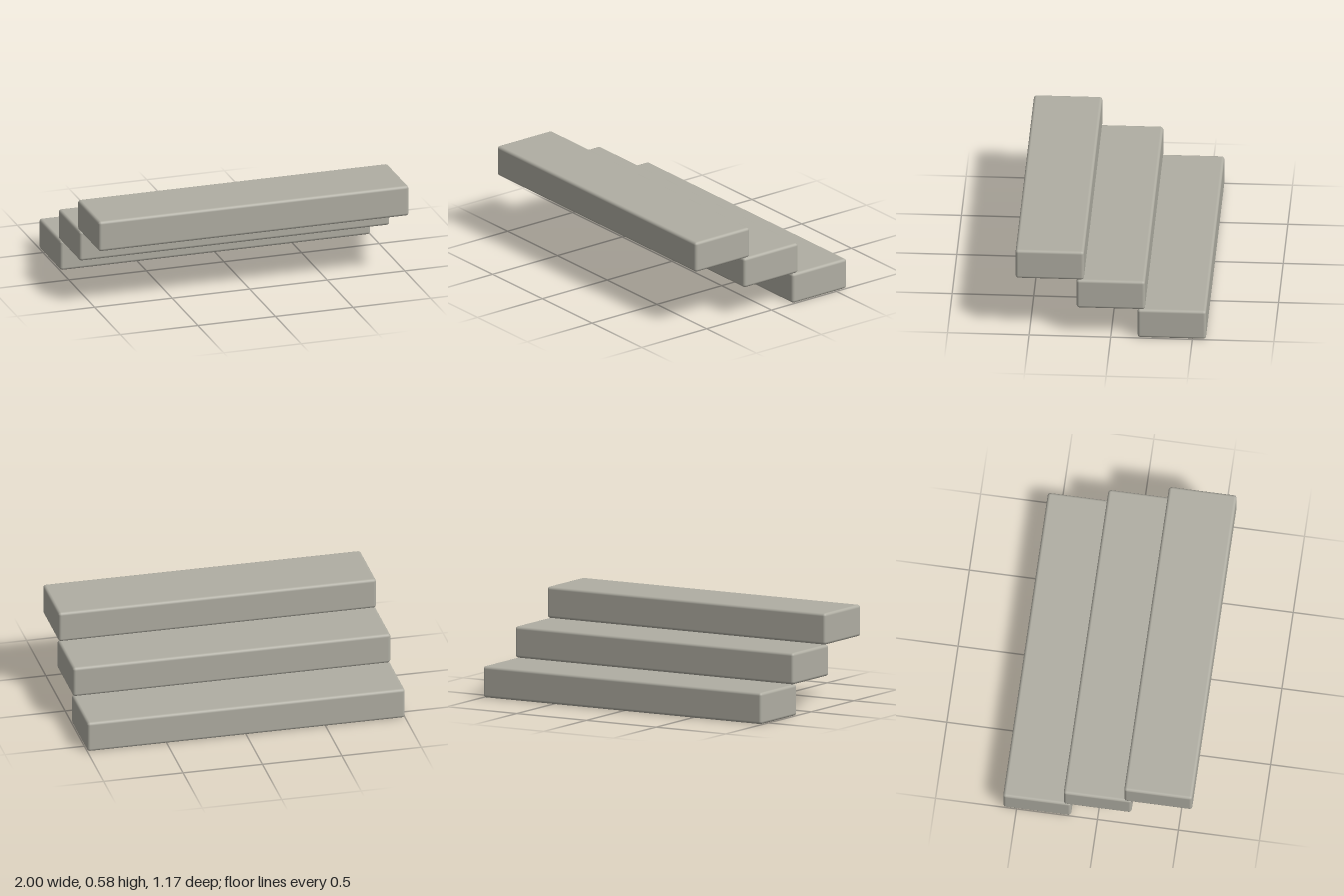
import * as THREE from 'three';
import { RoundedBoxGeometry } from 'three/addons/geometries/RoundedBoxGeometry.js';

export function createModel() {
  const stone = new THREE.MeshStandardMaterial({ color: 0xb0aea3 });
  stone.name = 'stone';
  const group = new THREE.Group();
  group.name = 'steps';

  // Three identical slabs with softened edges, climbing from back to front
  const height = 0.195, depth = 0.42, run = 0.374;
  const slab = new RoundedBoxGeometry(2, height, depth, 2, 0.018);
  ['lowerStep', 'middleStep', 'upperStep'].forEach((name, i) => {
    const step = new THREE.Mesh(slab, stone);
    step.name = name;
    step.position.set(0, height * (i + 0.5), run * (i - 1));
    group.add(step);
  });
  return group;
}
